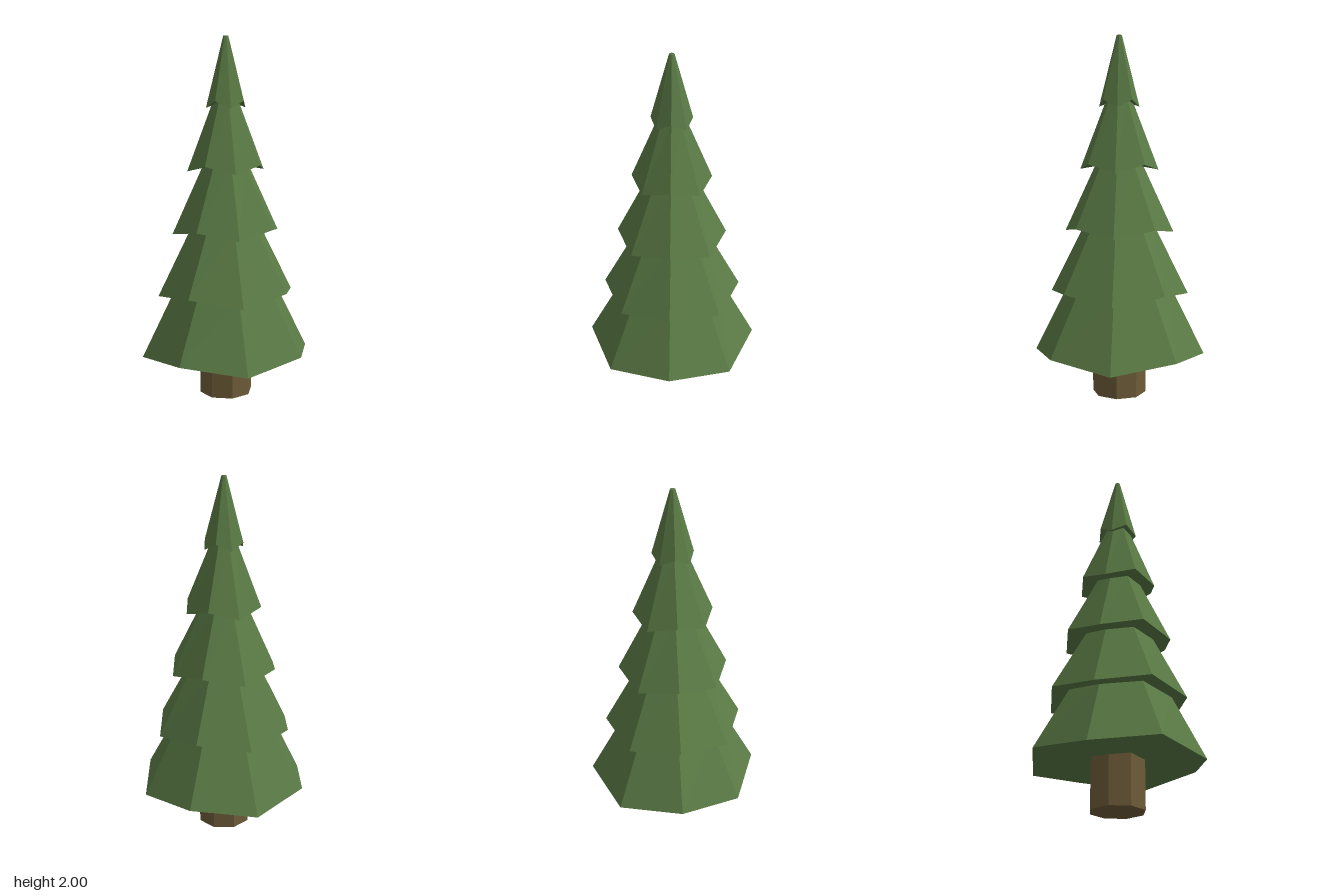
import * as THREE from 'three';

const SIDES = 8;
const LIFT = 0.04; // rise of the rim's diagonal corners and of the hollow underside

// One skirt of branches: an eight-sided frustum whose rim zigzags up and down
function tierGeometry(bottomY, bottomR, topY, topR) {
  const h = topY - bottomY;
  const geo = new THREE.CylinderGeometry(topR, bottomR, h, SIDES, 1);
  geo.translate(0, bottomY + h / 2, 0);
  const pos = geo.attributes.position;
  for (let i = 0; i < pos.count; i++) {
    if (pos.getY(i) > bottomY + h / 2) continue;
    const x = Math.abs(pos.getX(i)), z = Math.abs(pos.getZ(i));
    const isAxisCorner = Math.max(x, z) > 0.9 * bottomR;
    if (!isAxisCorner) pos.setY(i, bottomY + LIFT);
  }
  geo.computeVertexNormals();
  return geo;
}

export function createModel() {
  const tree = new THREE.Group();
  tree.name = 'pineTree';
  const bark = new THREE.MeshStandardMaterial({ color: 0x6e5c39, flatShading: true });
  const needles = new THREE.MeshStandardMaterial({ color: 0x5a7a45, flatShading: true });

  // Trunk
  const trunk = new THREE.Mesh(new THREE.CylinderGeometry(0.15, 0.15, 0.3, SIDES), bark);
  trunk.position.y = 0.15;
  trunk.name = 'trunk';
  tree.add(trunk);

  // Branch tiers, bottom to top: rim height, rim radius, top height, top radius
  const tiers = [
    [0.235, 0.478, 0.62, 0.287],
    [0.58, 0.385, 0.965, 0.193],
    [0.927, 0.302, 1.31, 0.125],
    [1.272, 0.217, 1.655, 0.07],
    [1.615, 0.111, 2.0, 0.014],
  ];
  tiers.forEach((t, i) => {
    const tier = new THREE.Mesh(tierGeometry(...t), needles);
    tier.name = `branchTier${i + 1}`;
    tree.add(tier);
  });
  return tree;
}
